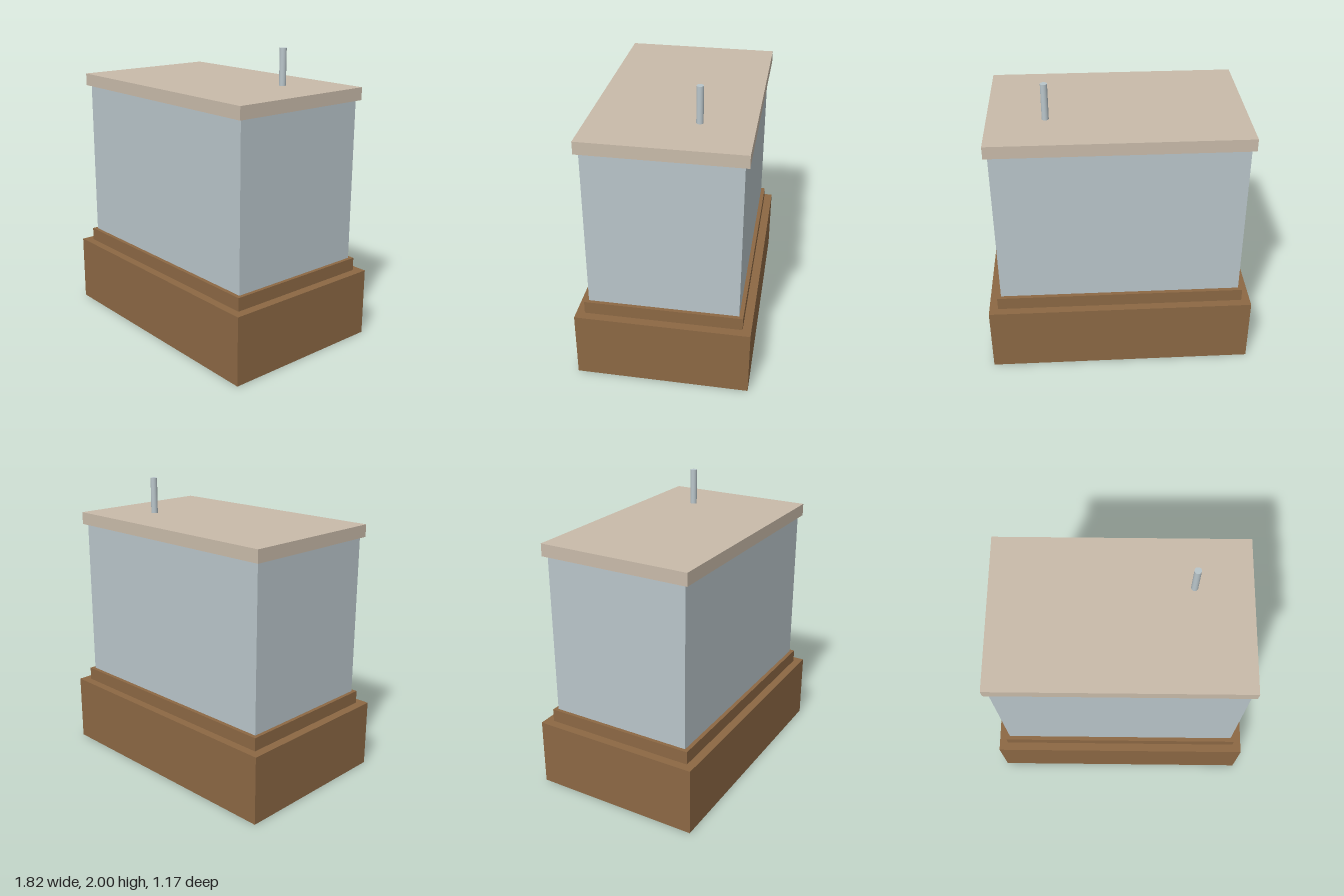
import * as THREE from 'three';

export function createModel() {
  const model = new THREE.Group();
  model.name = 'displayCase';

  const wood = new THREE.MeshStandardMaterial({ color: 0x8c6844 });
  wood.name = 'brown wood';
  const glass = new THREE.MeshStandardMaterial({ color: 0xb9c5ca });
  glass.name = 'pale blue glass';
  const cover = new THREE.MeshStandardMaterial({ color: 0xc9bbaa });
  cover.name = 'beige lid';

  // Centred block between two heights
  function addBlock(name, width, depth, bottom, top, material) {
    const mesh = new THREE.Mesh(new THREE.BoxGeometry(width, top - bottom, depth), material);
    mesh.position.y = (bottom + top) / 2;
    mesh.name = name;
    model.add(mesh);
  }

  // Stacked body, from the ground up
  addBlock('base', 1.82, 1.175, 0, 0.47, wood);
  addBlock('plinthStep', 1.7, 1.06, 0.47, 0.56, wood);
  addBlock('tank', 1.65, 1.005, 0.56, 1.667, glass);
  addBlock('lid', 1.7, 1.06, 1.667, 1.752, cover);

  // Thin upright rod standing on the lid
  const rod = new THREE.Mesh(new THREE.CylinderGeometry(0.023, 0.023, 0.248, 24), glass);
  rod.position.set(0.468, 1.876, -0.178);
  rod.name = 'rod';
  model.add(rod);

  return model;
}
